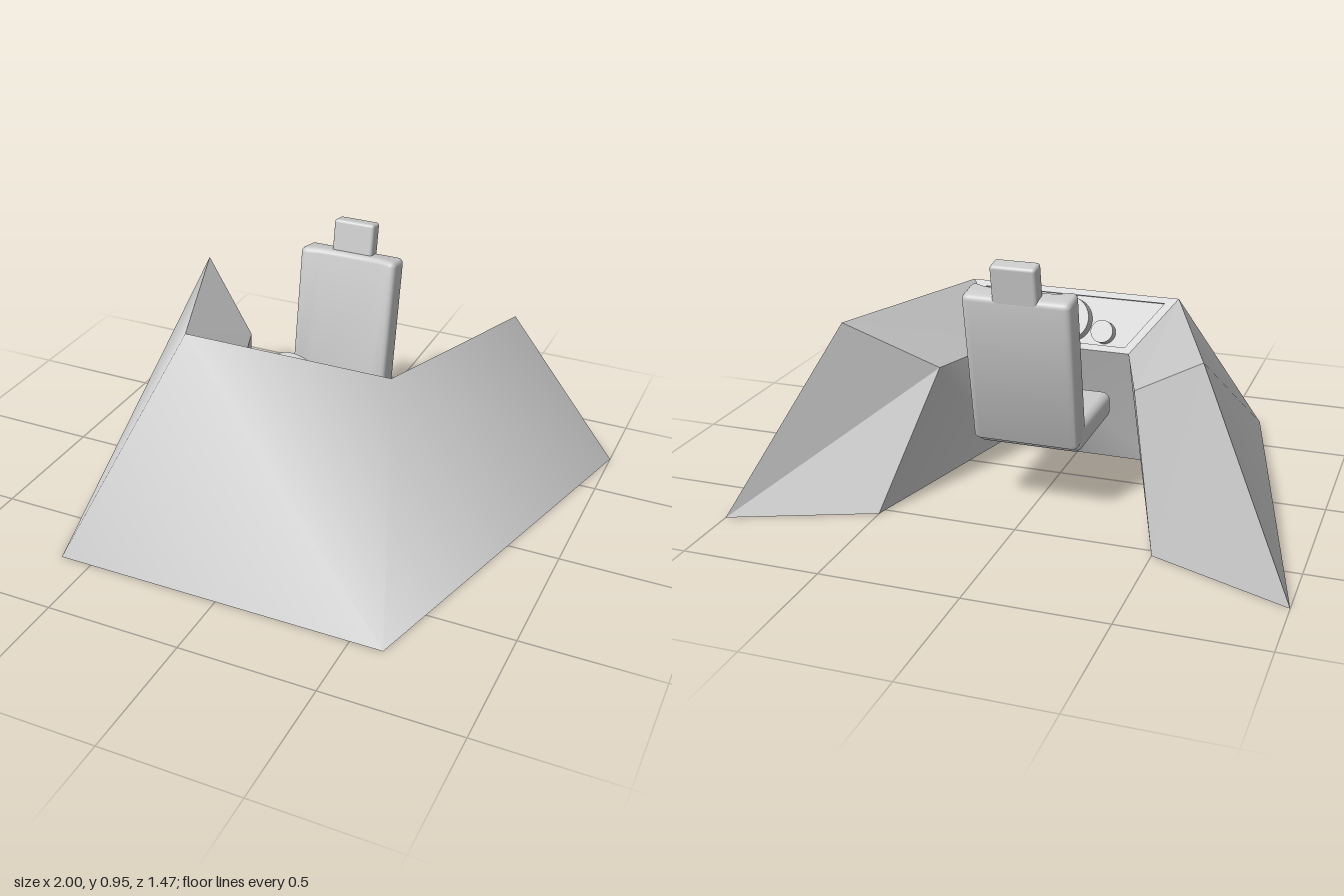
import * as THREE from 'three';
import { toCreasedNormals } from 'three/addons/utils/BufferGeometryUtils.js';
import { RoundedBoxGeometry } from 'three/addons/geometries/RoundedBoxGeometry.js';

const material = new THREE.MeshStandardMaterial({ color: 0xcccccc });

function addMesh(parent, name, geometry, x = 0, y = 0, z = 0) {
  const mesh = new THREE.Mesh(geometry, material);
  mesh.name = name;
  mesh.position.set(x, y, z);
  parent.add(mesh);
  return mesh;
}

// Skin between two rows of points, smooth along the row or faceted
function strip(a, b, smooth = false) {
  const index = [];
  const n = a.length;
  for (let i = 0; i < n - 1; i++) {
    index.push(i, i + 1, n + i, i + 1, n + i + 1, n + i);
  }
  let geometry = new THREE.BufferGeometry();
  geometry.setAttribute('position', new THREE.Float32BufferAttribute([...a, ...b].flat(), 3));
  geometry.setIndex(index);
  if (!smooth) geometry = geometry.toNonIndexed();
  geometry.computeVertexNormals();
  return geometry;
}

const quad = (a, b, c, d) => strip([a, b], [d, c]);
const close = (ring) => [...ring, ring[0]];

// Row of four points around the U: right arm end, front corners, left arm end
const uRow = (y, endX, endZ, frontX, frontZ) => [
  [-endX, y, endZ], [-frontX, y, frontZ], [frontX, y, frontZ], [endX, y, endZ],
];

export function createModel() {
  const model = new THREE.Group();
  model.name = 'cockpit';

  // U-shaped console shell
  const outerBottom = uRow(0, 1, -0.735, 0.62, 0.735);
  const outerTop = uRow(0.68, 0.64, -0.47, 0.4, 0.165);
  const innerTop = uRow(0.48, 0.36, -0.28, 0.24, 0.07);
  const innerBottom = uRow(0, 0.5, -0.535, 0.315, 0.21);

  const shell = new THREE.Group();
  shell.name = 'consoleShell';
  model.add(shell);
  addMesh(shell, 'outerWall', strip(outerBottom, outerTop, true));
  addMesh(shell, 'innerWall', strip(innerTop, innerBottom, true));
  addMesh(shell, 'underside', strip(innerBottom, outerBottom));
  addMesh(shell, 'rightArmTop', strip(outerTop.slice(0, 2), innerTop.slice(0, 2)));
  addMesh(shell, 'leftArmTop', strip(outerTop.slice(2), innerTop.slice(2)));
  addMesh(shell, 'rightArmEnd', quad(outerBottom[0], outerTop[0], innerTop[0], innerBottom[0]));
  addMesh(shell, 'leftArmEnd', quad(innerBottom[3], innerTop[3], outerTop[3], outerBottom[3]));

  // Sloping dashboard: t runs from its top edge to its bottom edge
  const tilt = Math.atan2(0.2, 0.095);
  const onPanel = (x, t, lift) => [
    x, 0.68 - 0.2 * t + lift * Math.cos(tilt), 0.165 - 0.095 * t - lift * Math.sin(tilt),
  ];
  const panelRing = (topX, topT, lowX, lowT, lift) => [
    onPanel(-topX, topT, lift), onPanel(topX, topT, lift),
    onPanel(lowX, lowT, lift), onPanel(-lowX, lowT, lift),
  ];
  const rim = panelRing(0.4, 0, 0.24, 1, 0);
  const lip = panelRing(0.35, 0.1, 0.222, 0.9, 0);
  const floor = panelRing(0.35, 0.1, 0.222, 0.9, -0.015);

  const dashboard = new THREE.Group();
  dashboard.name = 'dashboard';
  model.add(dashboard);
  addMesh(dashboard, 'frame', strip(close(rim), close(lip)));
  addMesh(dashboard, 'recessWall', strip(close(lip), close(floor)));
  addMesh(dashboard, 'panel', quad(...floor));

  // Dials standing on the panel
  for (const [name, x, t, radius, height] of [
    ['mainDial', 0, 0.52, 0.082, 0.055],
    ['rightDial', -0.135, 0.68, 0.042, 0.045],
    ['leftDial', 0.135, 0.68, 0.042, 0.045],
  ]) {
    const dial = addMesh(dashboard, name, new THREE.CylinderGeometry(radius, radius, height, 32),
      ...onPanel(x, t, height / 2 - 0.016));
    dial.rotation.x = -tilt;
  }

  // Seat cushion
  const seat = new THREE.Group();
  seat.name = 'seat';
  model.add(seat);
  addMesh(seat, 'cushion', new RoundedBoxGeometry(0.385, 0.1, 0.38, 4, 0.03), 0, 0.3, -0.17);

  // Reclined backrest with raised side bolsters
  const back = new THREE.Group();
  back.name = 'reclinedBack';
  back.position.set(0, 0.28, -0.333);
  back.rotation.x = -0.17;
  seat.add(back);

  const w = 0.192, d = 0.055, r = 0.025;
  const profile = new THREE.Shape();
  profile.moveTo(-w + r, d);
  profile.quadraticCurveTo(-w, d, -w, d - r);
  profile.lineTo(-w, -d + r);
  profile.quadraticCurveTo(-w, -d, -w + r, -d);
  profile.lineTo(w - r, -d);
  profile.quadraticCurveTo(w, -d, w, -d + r);
  profile.lineTo(w, d - r);
  profile.quadraticCurveTo(w, d, w - r, d);
  profile.lineTo(0.12, d - 0.02);
  profile.lineTo(-0.12, d - 0.02);
  profile.closePath();
  const height = 0.565, bevel = 0.02;
  const backrest = new THREE.ExtrudeGeometry(profile, {
    depth: height - 2 * bevel, bevelThickness: bevel, bevelSize: bevel,
    bevelOffset: -bevel, bevelSegments: 4, curveSegments: 5,
  });
  // Stand the extrusion up, with the bolsters facing forward
  backrest.translate(0, 0, bevel - height).rotateX(Math.PI / 2);
  backrest.scale(1, -1, 1);
  backrest.translate(0, height, 0);
  // Restore the winding after the mirror
  const p = backrest.attributes.position;
  for (let i = 0; i < p.count; i += 3) {
    const b = [p.getX(i + 1), p.getY(i + 1), p.getZ(i + 1)];
    p.setXYZ(i + 1, p.getX(i + 2), p.getY(i + 2), p.getZ(i + 2));
    p.setXYZ(i + 2, ...b);
  }
  addMesh(back, 'backrest', toCreasedNormals(backrest, 0.6));

  // Headrest
  addMesh(back, 'headrest', new RoundedBoxGeometry(0.16, 0.15, 0.065, 3, 0.012), 0, 0.608, -0.022);

  return model;
}
